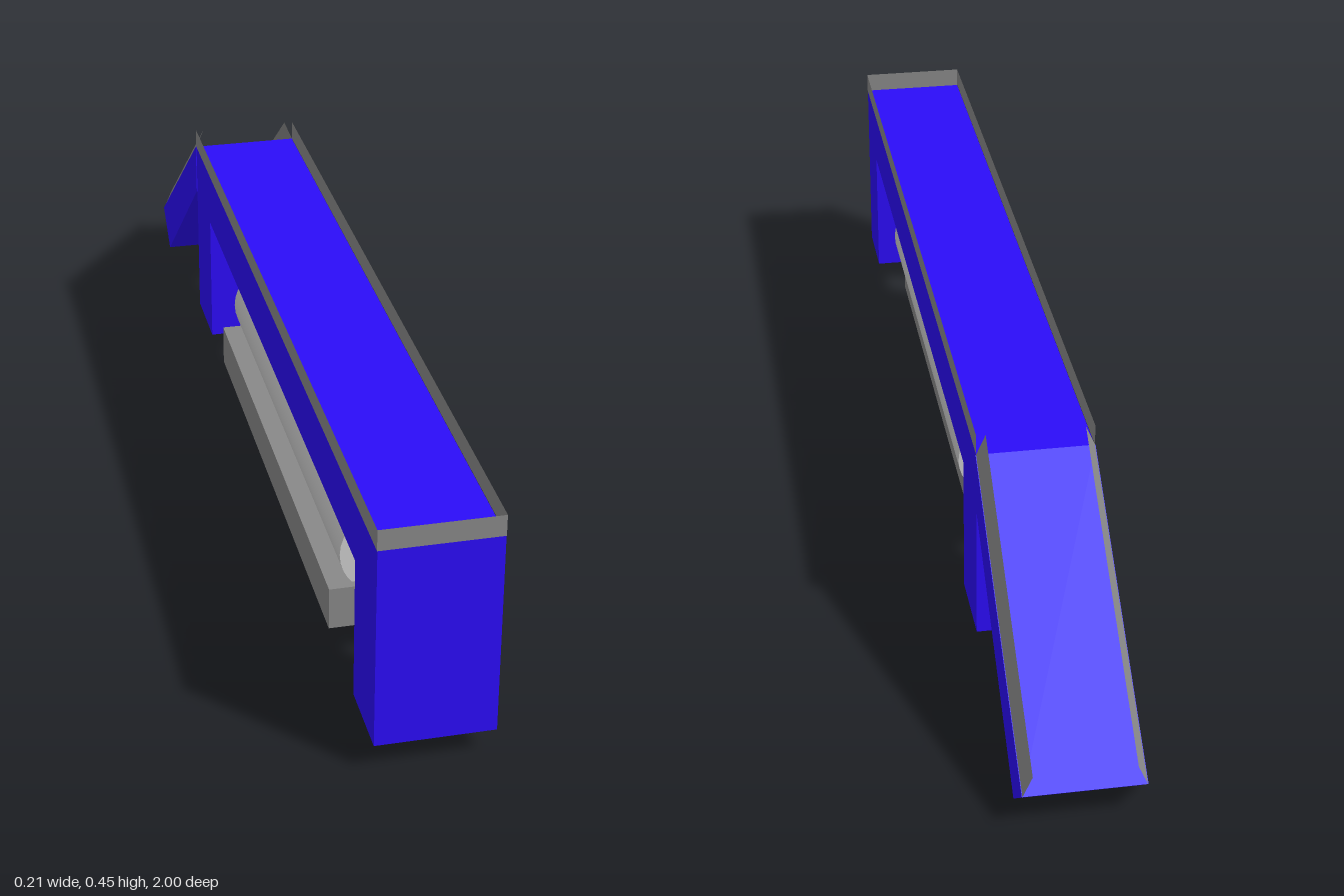
import * as THREE from 'three';

const blue = new THREE.MeshStandardMaterial({ color: 0x2c0cf8 });
const grey = new THREE.MeshStandardMaterial({ color: 0x888888 });
const rimGrey = new THREE.MeshStandardMaterial({ color: 0x888888, side: THREE.DoubleSide });
const light = new THREE.MeshStandardMaterial({ color: 0xcccccc });

function mesh(name, geometry, material) {
  const m = new THREE.Mesh(geometry, material);
  m.name = name;
  return m;
}

// Extrude a [z, y] side profile across the width, centred on x = 0
function sideProfile(points, width) {
  const shape = new THREE.Shape(points.map(([z, y]) => new THREE.Vector2(z, y)));
  const g = new THREE.ExtrudeGeometry(shape, { depth: width, bevelEnabled: false });
  return g.rotateY(-Math.PI / 2).translate(width / 2, 0, 0);
}

// Thin wall between a lower and an upper line of points
function wall(lower, upper) {
  const pos = [];
  for (let i = 0; i < lower.length - 1; i++) {
    const [a, b, c, d] = [lower[i], lower[i + 1], upper[i + 1], upper[i]];
    pos.push(...a, ...b, ...c, ...a, ...c, ...d);
  }
  const g = new THREE.BufferGeometry();
  g.setAttribute('position', new THREE.Float32BufferAttribute(pos, 3));
  g.computeVertexNormals();
  return g;
}

export function createModel() {
  const group = new THREE.Group();
  const deckY = 0.41, rimY = 0.447, backZ = -0.54;

  // Deck with its two legs
  group.add(mesh('deckAndLegs', sideProfile([
    [1, 0.05], [1, deckY], [backZ, deckY], [backZ, 0.05],
    [-0.395, 0.05], [-0.395, 0.305], [0.863, 0.305], [0.863, 0.05],
  ], 0.199), blue));

  // Ramp sloping down at the back
  group.add(mesh('ramp', sideProfile([
    [backZ, deckY], [-1, 0.065], [-0.925, 0], [backZ, 0.31],
  ], 0.202), blue));

  // Upright rim round the front and sides of the deck
  const path = [[0.1, backZ], [0.1, 1], [-0.1, 1], [-0.1, backZ]];
  group.add(mesh('deckRim', wall(
    path.map(([x, z]) => [x, deckY, z]),
    path.map(([x, z]) => [x, rimY, z]),
  ), rimGrey));

  // Ramp rims lean slightly inward
  for (const [name, s] of [['leftRampRim', 1], ['rightRampRim', -1]]) {
    group.add(mesh(name, wall(
      [[s * 0.1, deckY, backZ], [s * 0.1, 0.065, -1]],
      [[s * 0.084, rimY, backZ], [s * 0.084, 0.102, -1]],
    ), rimGrey));
  }

  // Base plate and the roller resting in it
  const plate = mesh('basePlate', new THREE.BoxGeometry(0.165, 0.077, 0.945), grey);
  plate.position.set(-0.0215, 0.1085, 0.2325);
  group.add(plate);

  const roller = mesh('roller', new THREE.CylinderGeometry(0.083, 0.083, 0.915, 32), light);
  roller.rotation.x = Math.PI / 2;
  roller.position.set(0, 0.202, 0.2325);
  group.add(roller);

  return group;
}
